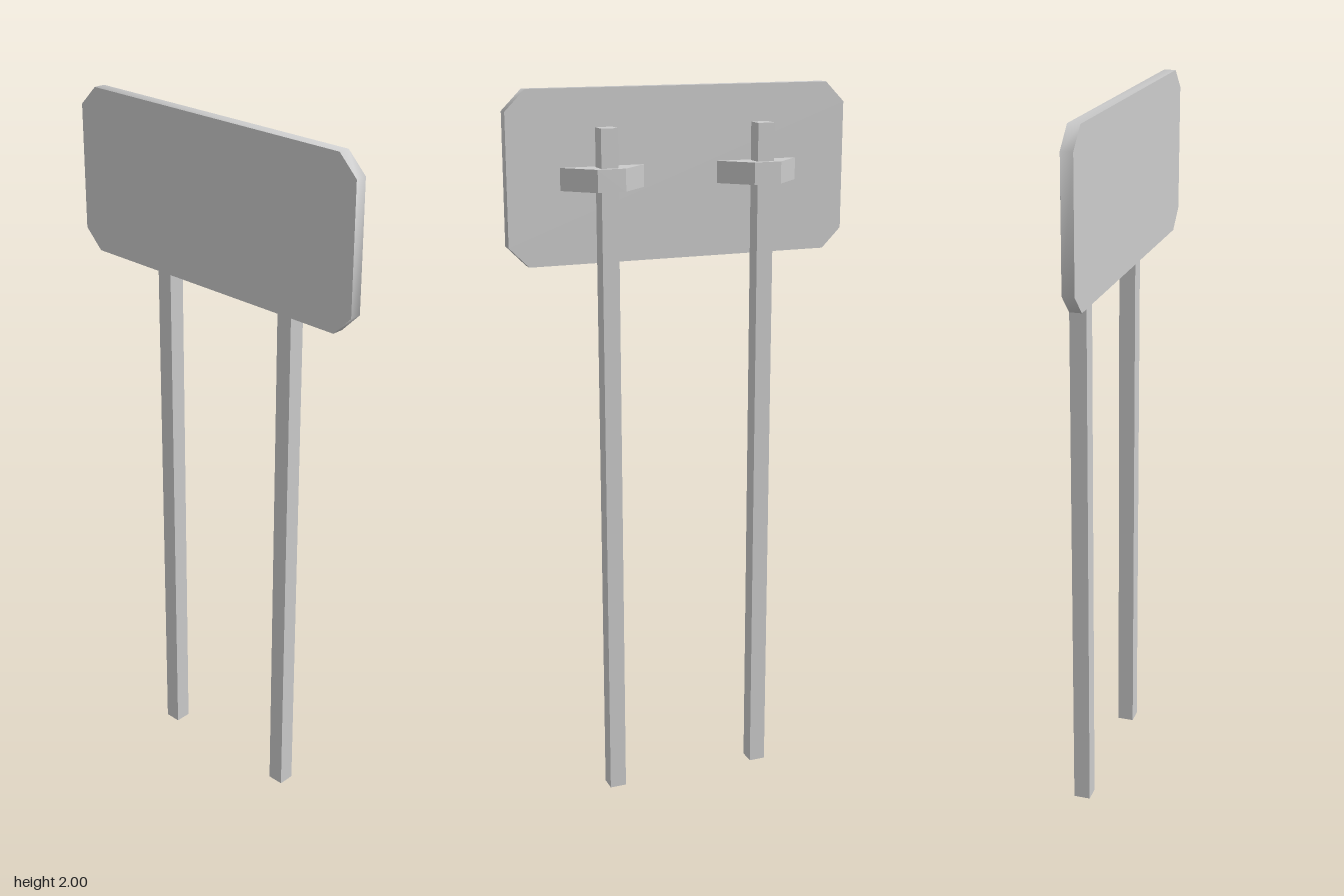
import * as THREE from 'three';
import { toCreasedNormals } from 'three/addons/utils/BufferGeometryUtils.js';

const material = new THREE.MeshStandardMaterial({ color: 0xcccccc });

function extrude(points, depth) {
  const shape = new THREE.Shape(points.map(([x, y]) => new THREE.Vector2(x, y)));
  return new THREE.ExtrudeGeometry(shape, { depth, bevelEnabled: false });
}

function addMesh(parent, name, geometry, x = 0, y = 0, z = 0) {
  const mesh = new THREE.Mesh(geometry, material);
  mesh.name = name;
  mesh.position.set(x, y, z);
  parent.add(mesh);
}

export function createModel() {
  const model = new THREE.Group();
  model.name = 'signboard';

  // Board with cut corners; the rim is shaded smoothly around the cuts
  const w = 0.485, h = 0.23, c = 0.055;
  const outline = [
    [-w + c, -h], [w - c, -h], [w, -h + c], [w, h - c],
    [w - c, h], [-w + c, h], [-w, h - c], [-w, -h + c],
  ];
  const board = toCreasedNormals(extrude(outline, 0.033), Math.PI / 3);
  addMesh(model, 'board', board, 0, 1.77, 0.022);

  // Square posts, each held to the back of the board by a tapered bracket
  const taper = [[-0.117, -0.022], [0.117, -0.022], [0.039, 0.055], [-0.039, 0.055]];
  for (const side of [-1, 1]) {
    const label = side > 0 ? 'left' : 'right';
    const x = side * 0.223;
    addMesh(model, label + 'Post', new THREE.BoxGeometry(0.047, 1.9, 0.047), x, 0.95, -0.0165);
    const bracket = extrude(taper, 0.06).rotateX(-Math.PI / 2);
    addMesh(model, label + 'Bracket', bracket, x, 1.737, 0);
  }
  return model;
}
